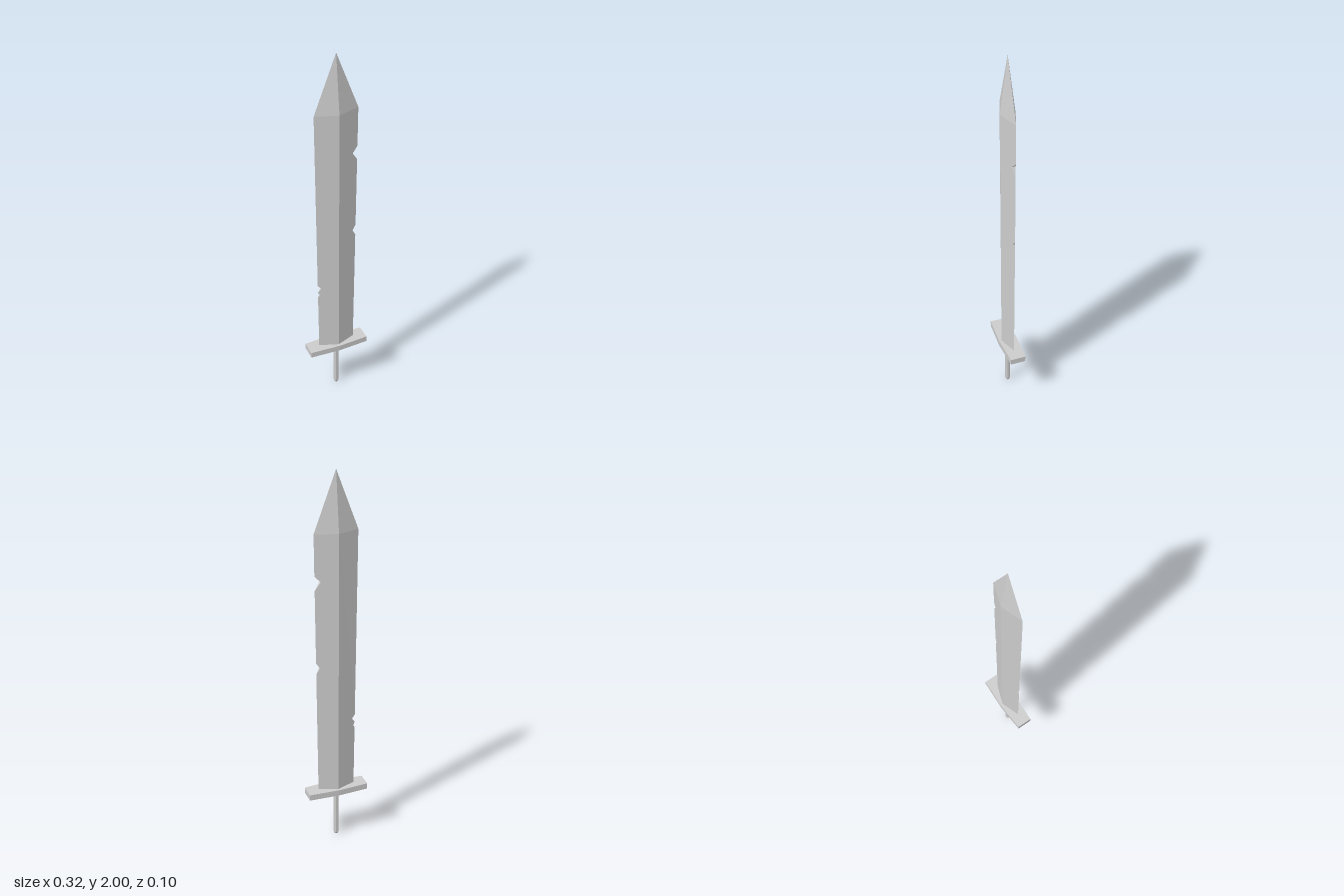
import * as THREE from 'three';

const SHOULDER = 1.7, BASE = 0.29;
const lerp = THREE.MathUtils.lerp;

// Sharp edge and ridge lines of the undamaged blade at height y
const along = y => (y - BASE) / (SHOULDER - BASE);
const edgeAt = y => y > SHOULDER ? 0.112 * (2 - y) / 0.3 : lerp(0.098, 0.112, along(y));
const ridgeAt = y => y > SHOULDER ? 0.038 * (2 - y) / 0.3 : lerp(0.035, 0.038, along(y));

// One half of the blade; each nick is [lower y, deepest y, upper y, depth]
function bladeHalf(side, nicks) {
  const outline = [[BASE, 0]];
  for (const [low, mid, high, depth] of nicks) outline.push([low, 0], [mid, depth], [high, 0]);
  outline.push([SHOULDER, 0], [2, 0]);

  // Cross-section: front ridge, front edge, back edge, back ridge
  const sections = outline.map(([y, depth]) => {
    const w = edgeAt(y), h = ridgeAt(y), x = w - depth;
    const z = w > 0 ? h * depth / w : 0;
    return [[0, y, h], [side * x, y, z], [side * x, y, -z], [0, y, -h]];
  });
  const pos = [];
  const tri = (a, b, c) => pos.push(...a, ...(side > 0 ? [...b, ...c] : [...c, ...b]));
  for (let i = 0; i < sections.length - 1; i++) {
    const a = sections[i], b = sections[i + 1];
    for (let k = 0; k < 3; k++) {
      tri(a[k], a[k + 1], b[k + 1]);
      tri(a[k], b[k + 1], b[k]);
    }
  }
  const [p, q, , r] = sections[0];
  tri(p, r, q);
  const geo = new THREE.BufferGeometry();
  geo.setAttribute('position', new THREE.Float32BufferAttribute(pos, 3));
  geo.computeVertexNormals();
  return geo;
}

export function createModel() {
  const group = new THREE.Group();
  const material = new THREE.MeshStandardMaterial({ color: 0xcccccc, flatShading: true });
  const add = (name, geometry, parent = group) => {
    const mesh = new THREE.Mesh(geometry, material);
    mesh.name = name;
    parent.add(mesh);
    return mesh;
  };

  // Diamond-section blade with chipped edges
  const blade = new THREE.Group();
  blade.name = 'blade';
  group.add(blade);
  add('bladeLeftHalf', bladeHalf(1, [[0.97, 1.005, 1.03, 0.018], [1.415, 1.46, 1.49, 0.028]]), blade);
  add('bladeRightHalf', bladeHalf(-1, [[0.63, 0.645, 0.66, 0.009], [0.662, 0.685, 0.705, 0.017]]), blade);

  // Six-sided crossguard, widest front to back at the middle
  const plan = [[-0.16, -0.04], [0, -0.049], [0.16, -0.04], [0.16, 0.04], [0, 0.049], [-0.16, 0.04]];
  const guardShape = new THREE.Shape(plan.map(([x, z]) => new THREE.Vector2(x, z)));
  const guard = new THREE.ExtrudeGeometry(guardShape, { depth: 0.032, bevelEnabled: false });
  guard.rotateX(-Math.PI / 2).translate(0, 0.266, 0);
  add('crossguard', guard);

  // Thin tang with a chamfered foot
  const profile = [[0, 0], [0.009, 0], [0.0135, 0.01], [0.0135, 0.27]];
  const tang = new THREE.LatheGeometry(profile.map(([r, y]) => new THREE.Vector2(r, y)), 8, Math.PI / 8);
  add('tang', tang);

  return group;
}
